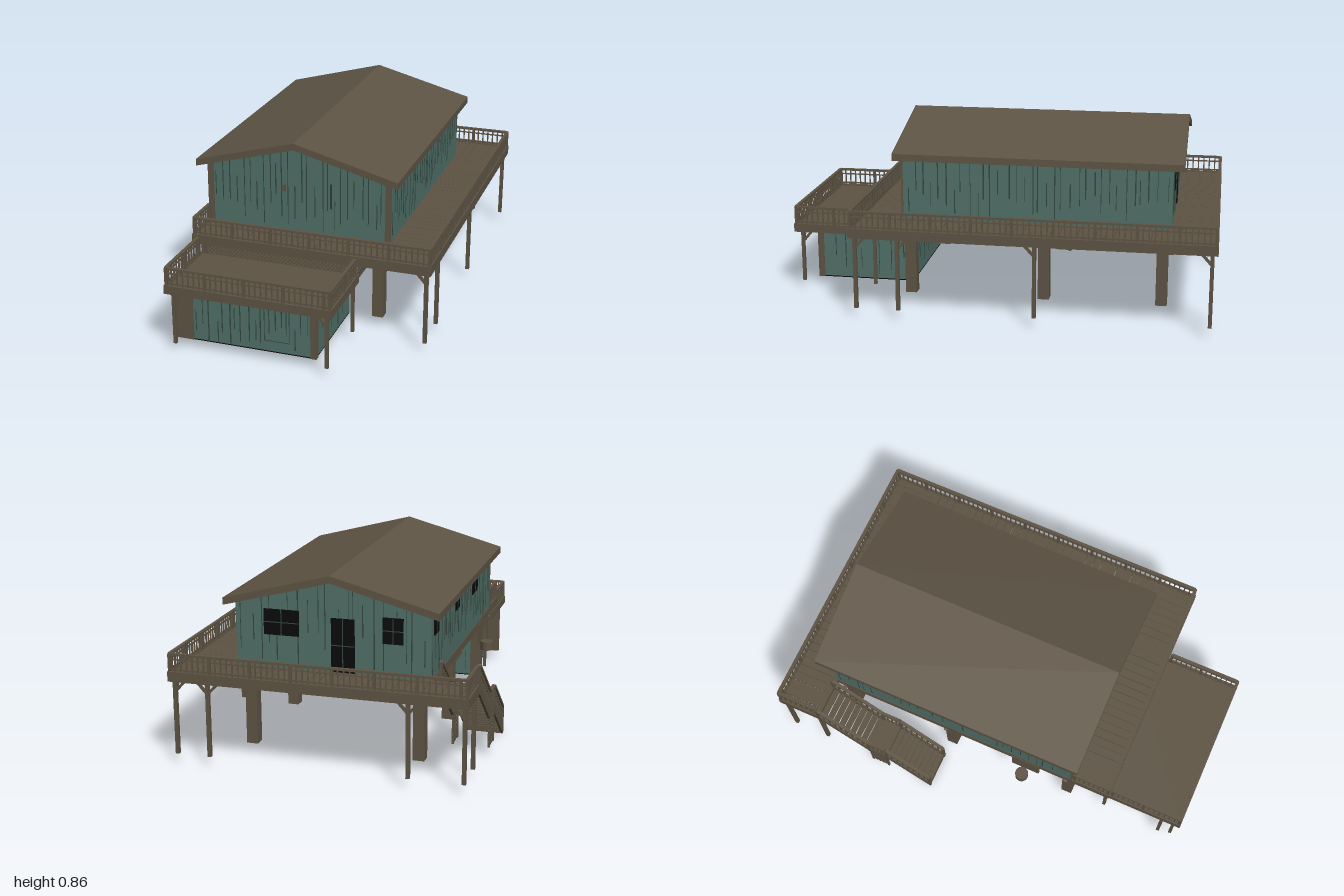
import * as THREE from 'three';

const mat = (name, color) => {
  const m = new THREE.MeshStandardMaterial({ color });
  m.name = name;
  return m;
};

export function createModel() {
  const model = new THREE.Group();
  model.name = 'stiltHouse';
  const wood = mat('weatheredWood', 0x5e5444);
  const teal = mat('tealSiding', 0x517068);
  const groove = mat('darkTealGroove', 0x32463f);
  const black = mat('darkGlass', 0x0b0b0c);

  let seed = 7;
  const rnd = () => (seed = (seed * 16807) % 2147483647) / 2147483647;
  const part = (name) => {
    const g = new THREE.Group();
    g.name = name;
    model.add(g);
    return g;
  };
  // Box from its limits on each axis
  const box = (g, name, m, x0, x1, y0, y1, z0, z1) => {
    const b = new THREE.Mesh(new THREE.BoxGeometry(x1 - x0, y1 - y0, z1 - z0), m);
    b.position.set((x0 + x1) / 2, (y0 + y1) / 2, (z0 + z1) / 2);
    b.name = name;
    g.add(b);
  };
  // Square bar between two points that are not straight above each other
  const beam = (g, name, a, b, w, h, m = wood) => {
    const p = new THREE.Vector3(...a), q = new THREE.Vector3(...b);
    const bar = new THREE.Mesh(new THREE.BoxGeometry(w, h, p.distanceTo(q)), m);
    bar.position.copy(p).lerp(q, 0.5);
    bar.lookAt(q);
    bar.name = name;
    g.add(bar);
  };
  const post = (g, name, x, z, y0, y1, s) => box(g, name, wood, x - s / 2, x + s / 2, y0, y1, z - s / 2, z + s / 2);
  // Railing with three rails, balusters and thicker posts; also works on a slope
  const railing = (g, a, b, h) => {
    const up = (p, d) => [p[0], p[1] + d, p[2]];
    beam(g, 'topRail', up(a, h - 0.005), up(b, h - 0.005), 0.016, 0.01);
    beam(g, 'middleRail', up(a, h * 0.68), up(b, h * 0.68), 0.006, 0.006);
    beam(g, 'bottomRail', up(a, h * 0.15), up(b, h * 0.15), 0.006, 0.008);
    const len = Math.hypot(b[0] - a[0], b[2] - a[2]);
    const n = Math.max(2, Math.round(len / 0.026));
    const every = Math.max(1, Math.round(n / Math.max(1, Math.round(len / 0.18))));
    for (let i = 0; i <= n; i++) {
      const t = i / n, p = a.map((v, k) => v + (b[k] - v) * t);
      const thick = i % every === 0 || i === n;
      post(g, thick ? 'railPost' : 'baluster', p[0], p[2], p[1] - (thick ? 0.03 : 0), p[1] + h - 0.004, thick ? 0.013 : 0.006);
    }
  };
  // Crossed slats clipped to a w by h rectangle; at(u, v) places it in space
  const lattice = (g, w, h, at) => {
    for (let c = -h + 0.008; c < w; c += 0.018) {
      const u0 = Math.max(0, c), u1 = Math.min(w, c + h);
      if (u1 - u0 < 0.004) continue;
      beam(g, 'slat', at(u0, u0 - c), at(u1, u1 - c), 0.004, 0.006);
      beam(g, 'slat', at(u0, h - u0 + c), at(u1, h - u1 + c), 0.004, 0.006);
    }
  };
  const extrude = (name, m, pts, z0, z1) => {
    const s = new THREE.Shape(pts.map((p) => new THREE.Vector2(...p)));
    const e = new THREE.Mesh(new THREE.ExtrudeGeometry(s, { depth: z1 - z0, bevelEnabled: false }), m);
    e.position.z = z0;
    e.name = name;
    model.add(e);
  };

  // House body, floor and roof
  extrude('houseWalls', teal, [[-0.45, 0.41], [0.425, 0.41], [0.425, 0.7], [-0.02, 0.83], [-0.45, 0.7]], -0.79, 0.444);
  const house = part('houseTrim');
  box(house, 'floorSlab', wood, -0.453, 0.428, 0.375, 0.415, -0.793, 0.447);
  extrude('roof', wood, [[-0.495, 0.695], [-0.02, 0.823], [0.465, 0.695], [0.465, 0.727], [-0.02, 0.855], [-0.495, 0.727]], -0.84, 0.48);
  box(house, 'cornerBoard', wood, -0.452, -0.424, 0.41, 0.705, 0.44, 0.449);
  box(house, 'cornerBoard', wood, 0.4, 0.427, 0.41, 0.705, 0.44, 0.449);
  box(house, 'ventPlate', wood, -0.09, -0.07, 0.61, 0.64, 0.443, 0.448);

  // Grooves between the siding boards
  const grooves = part('sidingGrooves');
  const scoreZ = (x0, x1, y0, top, z, n) => {
    for (let i = 0; i < n; i++) {
      const x = x0 + (x1 - x0) * ((i + 0.2 + rnd() * 0.6) / n), t = top(x) - y0;
      const a = y0 + t * rnd() * 0.5, b = i % 3 ? y0 + t : a + t * 0.4, w = 0.002 + rnd() * 0.003;
      box(grooves, 'groove', groove, x - w / 2, x + w / 2, a, b, z - 0.002, z + 0.002);
    }
  };
  const scoreX = (z0, z1, y0, y1, x, n) => {
    for (let i = 0; i < n; i++) {
      const z = z0 + (z1 - z0) * ((i + 0.2 + rnd() * 0.6) / n);
      const a = y0 + (y1 - y0) * rnd() * 0.5, b = i % 3 ? y1 : a + (y1 - y0) * 0.4, w = 0.002 + rnd() * 0.004;
      box(grooves, 'groove', groove, x - 0.002, x + 0.002, a, b, z - w / 2, z + w / 2);
    }
  };
  const gable = (x) => 0.82 - Math.abs(x + 0.02) * 0.28;
  scoreZ(-0.42, 0.4, 0.42, gable, 0.444, 26);
  scoreZ(-0.44, 0.42, 0.42, gable, -0.79, 20);
  scoreX(-0.78, 0.44, 0.42, 0.7, 0.425, 34);
  scoreX(-0.78, 0.44, 0.42, 0.7, -0.45, 30);
  box(grooves, 'openSeam', black, 0.143, 0.148, 0.55, 0.67, 0.442, 0.446);

  // Door and windows on the back wall, windows on the right-hand wall
  const openings = part('doorAndWindows');
  for (const [x0, x1, y0, y1] of [[0.135, 0.295, 0.565, 0.68], [-0.115, -0.01, 0.42, 0.66], [-0.33, -0.24, 0.565, 0.68]]) {
    const xm = (x0 + x1) / 2, ym = (y0 + y1) / 2;
    box(openings, 'darkPane', black, x0, x1, y0, y1, -0.795, -0.789);
    box(openings, 'muntin', groove, xm - 0.002, xm + 0.002, y0, y1, -0.797, -0.794);
    box(openings, 'muntin', groove, x0, x1, ym - 0.002, ym + 0.002, -0.797, -0.794);
  }
  for (const [z0, z1, y0, y1] of [[-0.745, -0.665, 0.605, 0.68], [-0.35, -0.27, 0.605, 0.68], [0.01, 0.125, 0.59, 0.685]]) {
    const zm = (z0 + z1) / 2;
    box(openings, 'darkPane', black, -0.455, -0.449, y0, y1, z0, z1);
    box(openings, 'muntin', groove, -0.457, -0.454, y0, y1, zm - 0.002, zm + 0.002);
  }

  // Upper deck: planks with narrow gaps, joists and fascia boards
  const deck = part('upperDeck');
  for (let z = -0.79; z < 0.43; z += 0.0407) box(deck, 'plank', wood, 0.425, 0.66, 0.41, 0.42, z, z + 0.0405 - rnd() * 0.003);
  for (let x = -0.655; x < 0.65; x += 0.0411) box(deck, 'plank', wood, x, x + 0.0409 - rnd() * 0.003, 0.41, 0.42, -0.995, -0.785);
  for (let x = -0.45; x < 0.64; x += 0.0411) box(deck, 'plank', wood, x, Math.min(0.66, x + 0.0409 - rnd() * 0.003), 0.41, 0.42, 0.43, 0.635);
  for (let z = -0.74; z < 0.6; z += 0.075) box(deck, 'joist', wood, 0.425, 0.655, 0.385, 0.41, z, z + 0.012);
  for (let x = -0.6; x < 0.64; x += 0.075) {
    box(deck, 'joist', wood, x, x + 0.012, 0.385, 0.41, -0.99, -0.79);
    if (x > -0.45) box(deck, 'joist', wood, x, x + 0.012, 0.385, 0.41, 0.444, 0.63);
  }
  box(deck, 'fascia', wood, 0.65, 0.664, 0.38, 0.425, -1, 0.64);
  box(deck, 'fascia', wood, -0.66, 0.664, 0.38, 0.425, -1, -0.986);
  box(deck, 'fascia', wood, -0.455, 0.664, 0.38, 0.425, 0.626, 0.64);
  box(deck, 'fascia', wood, -0.66, -0.646, 0.38, 0.425, -1, -0.785);
  box(deck, 'fascia', wood, -0.66, -0.45, 0.38, 0.42, -0.797, -0.785);
  box(deck, 'fascia', wood, -0.455, -0.441, 0.38, 0.425, 0.444, 0.64);
  const rails = part('upperRailing');
  railing(rails, [-0.445, 0.42, 0.63], [0.655, 0.42, 0.63], 0.087);
  railing(rails, [0.655, 0.42, 0.63], [0.655, 0.42, -0.99], 0.087);
  railing(rails, [0.655, 0.42, -0.99], [-0.65, 0.42, -0.99], 0.087);
  railing(rails, [-0.65, 0.42, -0.99], [-0.65, 0.42, -0.795], 0.087);
  railing(rails, [-0.445, 0.42, 0.63], [-0.445, 0.42, 0.46], 0.087);

  // Thick piles under the house, with braces
  const piles = part('piles');
  for (const z of [0.418, -0.208, -0.75]) {
    for (const x of [0.37, -0.395]) {
      post(piles, 'pile', x, z, 0.045, 0.38, 0.052);
      const d = x > 0 ? -0.07 : -0.06;
      beam(piles, 'brace', [x, 0.29, z], [x + d, 0.38, z], 0.018, 0.018);
    }
  }
  // Slim deck posts, with braces
  const posts = part('deckPosts');
  for (const [x, z] of [[0.64, 0.615], [0.64, 0.42], [0.64, -0.2], [0.64, -0.975], [0.49, -0.975], [-0.4, -0.975], [-0.64, -0.975], [-0.64, -0.8]]) {
    post(posts, 'deckPost', x, z, 0.045, 0.4, 0.017);
    if (x < 0.6) beam(posts, 'brace', [x, 0.33, z], [x + 0.05, 0.385, z], 0.01, 0.012);
    if (x > -0.6) beam(posts, 'brace', [x, 0.33, z], [x - 0.05, 0.385, z], 0.01, 0.012);
    if (Math.abs(x) > 0.6) beam(posts, 'brace', [x, 0.33, z], [x, 0.385, z + (z > 0 ? -0.05 : 0.05)], 0.01, 0.012);
  }

  // Enclosed lower room
  const room = part('lowerRoom');
  box(room, 'roomWalls', teal, -0.36, 0.235, 0.05, 0.3, 0.444, 0.912);
  box(room, 'roomUnderside', black, -0.36, 0.235, 0.045, 0.05, 0.444, 0.912);
  box(room, 'roomBackTop', teal, -0.36, 0.235, 0.3, 0.38, 0.444, 0.45);
  box(room, 'cornerBoard', wood, -0.42, -0.335, 0.045, 0.3, 0.9, 0.916);
  box(room, 'cornerBoard', wood, 0.212, 0.239, 0.045, 0.3, 0.887, 0.916);
  scoreZ(-0.33, 0.21, 0.05, () => 0.3, 0.912, 18);
  scoreZ(-0.35, 0.23, 0.05, () => 0.3, 0.444, 12);
  scoreX(0.45, 0.88, 0.05, 0.3, 0.235, 6);
  scoreX(0.45, 0.9, 0.05, 0.3, -0.36, 10);
  for (const x of [0, 0.115]) box(room, 'hatchEdge', groove, x - 0.001, x + 0.001, 0.1, 0.25, 0.911, 0.915);
  for (const y of [0.1, 0.25]) box(room, 'hatchEdge', groove, 0, 0.115, y - 0.001, y + 0.001, 0.911, 0.915);

  // Lower deck over the room
  const porch = part('lowerDeck');
  box(porch, 'deckFloor', wood, -0.42, 0.325, 0.3, 0.328, 0.444, 0.995);
  box(porch, 'fascia', wood, -0.43, 0.335, 0.295, 0.335, 0.985, 1);
  for (const x of [-0.43, 0.32]) box(porch, 'fascia', wood, x, x + 0.015, 0.295, 0.335, 0.62, 1);
  railing(porch, [-0.42, 0.33, 0.99], [0.325, 0.33, 0.99], 0.09);
  for (const [x, d] of [[-0.42, 1], [0.325, -1]]) {
    railing(porch, [x, 0.33, 0.99], [x, 0.33, 0.65], 0.09);
    const px = x + d * 0.02;
    post(porch, 'porchPost', px, 0.967, 0.045, 0.3, 0.015);
    post(porch, 'porchPost', px, 0.615, 0.045, 0.38, 0.015);
    beam(porch, 'brace', [px, 0.24, 0.967], [px + d * 0.05, 0.3, 0.967], 0.01, 0.012);
    beam(porch, 'brace', [px, 0.24, 0.967], [px, 0.3, 0.917], 0.01, 0.012);
    lattice(porch, 0.165, 0.055, (u, v) => [x, 0.328 + v, 0.45 + u]);
  }
  lattice(porch, 0.74, 0.055, (u, v) => [-0.42 + u, 0.328 + v, 0.618]);

  // Two stair flights with a landing
  const stairs = part('stairs');
  const flights = [[[0.02, -0.225], [0.2, -0.445], 9], [[0.2, -0.54], [0.4, -0.785], 9]];
  for (const [[y0, z0], [y1, z1], n] of flights) {
    for (let i = 0; i < n; i++) {
      const t = (i + 0.5) / n, y = y0 + (y1 - y0) * t, z = z0 + (z1 - z0) * t;
      box(stairs, 'tread', wood, -0.655, -0.49, y - 0.004, y + 0.004, z - 0.014, z + 0.014);
    }
    for (const x of [-0.655, -0.492]) {
      beam(stairs, 'stringer', [x, y0, z0], [x, y1, z1], 0.01, 0.035);
      railing(stairs, [x, y0 + 0.015, z0], [x, y1 + 0.01, z1], 0.1);
    }
  }
  box(stairs, 'bottomStep', wood, -0.66, -0.487, 0, 0.036, -0.232, -0.222);
  box(stairs, 'landing', wood, -0.66, -0.487, 0.195, 0.215, -0.54, -0.445);
  for (const x of [-0.655, -0.492]) {
    railing(stairs, [x, 0.21, -0.445], [x, 0.21, -0.54], 0.1);
    lattice(stairs, 0.09, 0.15, (u, v) => [x, 0.047 + v, -0.54 + u]);
    for (const z of [-0.45, -0.535]) post(stairs, 'landingPost', x, z, 0.045, 0.2, 0.01);
  }

  // Utility panel with a hanging canister under the side of the house
  const utility = part('utilityPanel');
  box(utility, 'panel', wood, -0.456, -0.446, 0.29, 0.4, 0.14, 0.28);
  const can = new THREE.Mesh(new THREE.CylinderGeometry(0.031, 0.031, 0.042, 20), wood);
  can.position.set(-0.49, 0.288, 0.206);
  can.name = 'canister';
  utility.add(can);
  return model;
}
